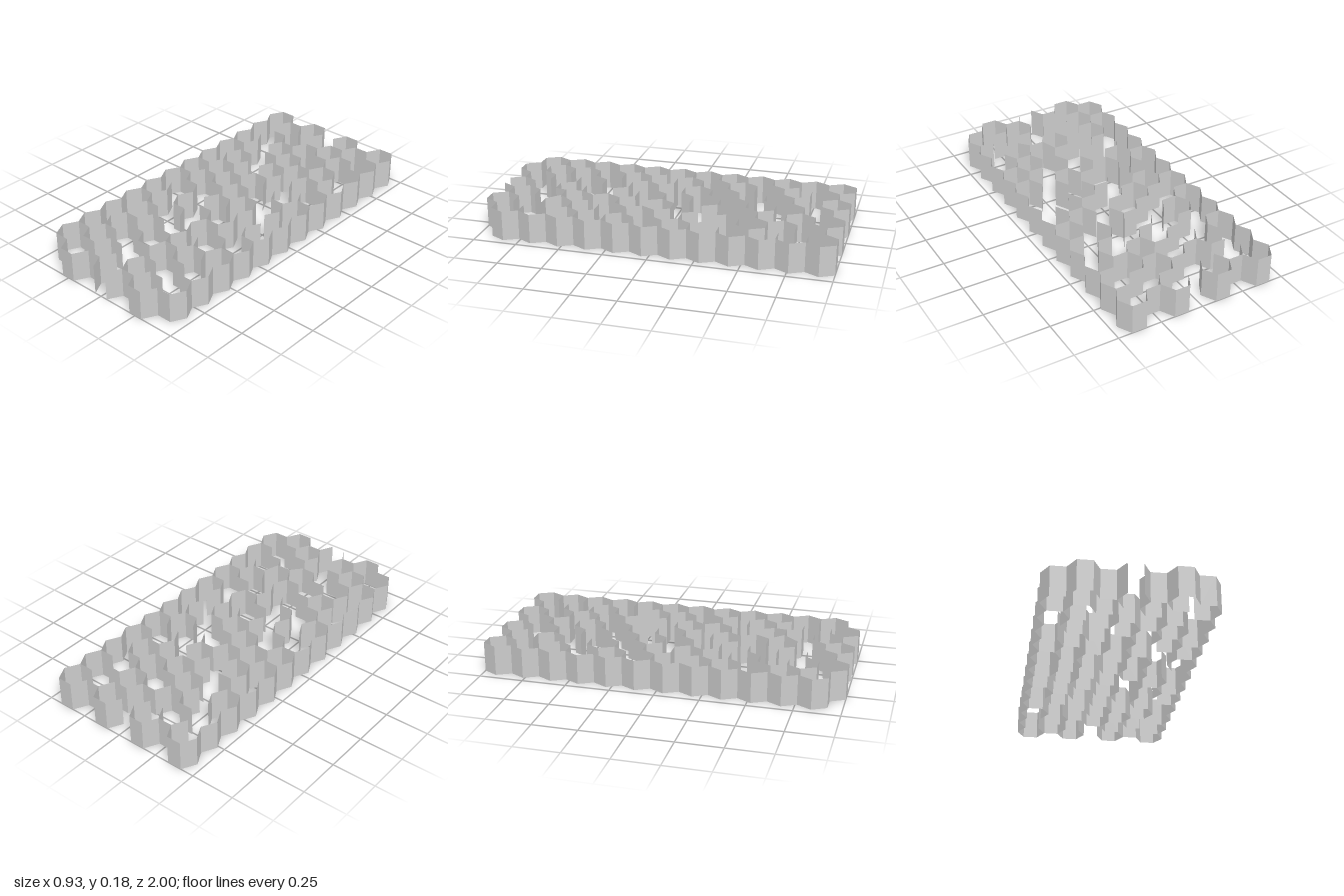
import * as THREE from 'three';

const COLS = 7, ROWS = 12;
const HALF = 0.0421;        // half the length of a hexagon side
const DEPTH = 0.08;         // half the depth of a cell
const HEIGHT = 0.17, RAISED = 0.183;

// Corners of a cell, going round, as multiples of HALF and DEPTH
const CORNERS = [[2, 0], [1, 1], [-1, 1], [-2, 0], [-1, -1], [1, -1]];

// Straight lanes through the maze, in the same multiples: kept open or walled
const OPEN_LANES = [
  [[-10, -0.25], [-0.7, 6]],
  [[-8.4, -9], [-3.3, -5.25]],
  [[7.5, 1.3], [2.6, 5]],
  [[8.4, -5.75], [3.3, -2]],
];
const WALLED_LANES = [
  [[0, -11.2], [5, -7.7]],
  [[-2.1, -9], [2.9, -5.25]],
  [[4, -9.4], [9, -5.6]],
  [[-8.3, 3], [-3.3, 6.75]],
];

function seeded(seed) {
  return () => {
    seed = (seed * 1664525 + 1013904223) % 4294967296;
    return seed / 4294967296;
  };
}

// All cell sides, each stored once with the cells it borders
function buildSides() {
  const sides = new Map();
  for (let c = 0; c < COLS; c++) {
    for (let r = 0; r < ROWS; r++) {
      const cell = { parent: null };
      const cx = (c - (COLS - 1) / 2) * 3;
      const cz = (c % 2 ? 11.5 : 10.5) - 2 * r;
      CORNERS.forEach(([x, z], i) => {
        const [nx, nz] = CORNERS[(i + 1) % 6];
        const a = [cx + x, cz + z], b = [cx + nx, cz + nz];
        const key = `${a[0] + b[0]},${a[1] + b[1]}`;
        if (!sides.has(key)) sides.set(key, { a, b, cells: [], open: false });
        sides.get(key).cells.push(cell);
      });
    }
  }
  return [...sides.values()];
}

// The two corners where the walls rise slightly
const isRaised = ([x, z]) => (x === 2 || x === 4) && z === 7.5;

const turn = (p, q, r) =>
  Math.sign((q[0] - p[0]) * (r[1] - p[1]) - (q[1] - p[1]) * (r[0] - p[0]));

const crosses = ({ a, b }, lanes) => lanes.some(([p, q]) =>
  turn(p, q, a) !== turn(p, q, b) && turn(a, b, p) !== turn(a, b, q));

const root = (cell) => (cell.parent ? root(cell.parent) : cell);

// Opens sides in order of rank until every cell is joined without loops
function carve(sides) {
  const random = seeded(7);
  const order = sides
    .filter((s) => !isRaised(s.a) && !isRaised(s.b))
    .map((side) => {
      let rank = random();
      if (crosses(side, OPEN_LANES)) rank -= 1;
      else if (crosses(side, WALLED_LANES)) rank += 1;
      return { side, rank };
    })
    .sort((m, n) => m.rank - n.rank);
  for (const { side } of order) {
    const [m, n] = side.cells.map(root);
    if (m === n) continue;
    m.parent = n;
    side.open = true;
  }
}

// One thin upright panel per standing side
function wallMesh(name, sides, material) {
  const points = [];
  for (const { a, b } of sides) {
    const low = (p) => [p[0] * HALF, 0, p[1] * DEPTH];
    const high = (p) => [p[0] * HALF, isRaised(p) ? RAISED : HEIGHT, p[1] * DEPTH];
    points.push(...low(b), ...low(a), ...high(a), ...low(b), ...high(a), ...high(b));
  }
  const geometry = new THREE.BufferGeometry();
  geometry.setAttribute('position', new THREE.Float32BufferAttribute(points, 3));
  geometry.computeVertexNormals();
  const mesh = new THREE.Mesh(geometry, material);
  mesh.name = name;
  return mesh;
}

export function createModel() {
  const group = new THREE.Group();
  group.name = 'hexagonMaze';
  const material = new THREE.MeshStandardMaterial({
    color: 0xcccccc, flatShading: true, side: THREE.DoubleSide,
  });
  const sides = buildSides();
  const border = sides.filter((s) => s.cells.length === 1);
  const inner = sides.filter((s) => s.cells.length === 2);
  carve(inner);

  // Entrance and exit in the middle column
  for (const s of border) {
    if (s.a[0] + s.b[0] === 0 && s.a[1] === s.b[1]) s.open = true;
  }

  group.add(wallMesh('outerWall', border.filter((s) => !s.open), material));
  group.add(wallMesh('innerWalls', inner.filter((s) => !s.open), material));
  return group;
}
